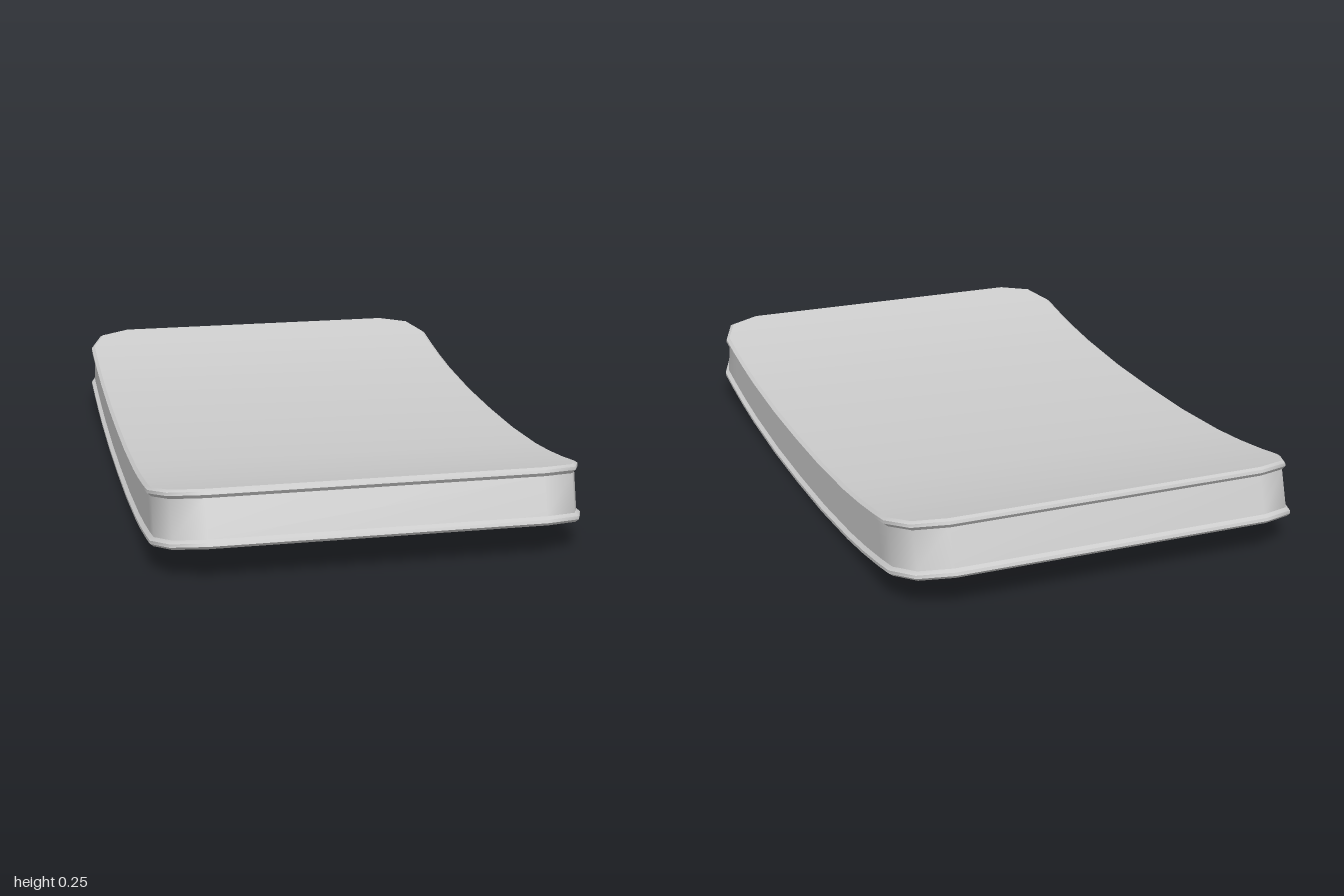
import * as THREE from 'three';
import { mergeGeometries } from 'three/addons/utils/BufferGeometryUtils.js';

const HALF_X = 0.608, HALF_Z = 1, RADIUS = 0.14, HEIGHT = 0.16;

// Right half of the rounded outline, front to back, shrunk by an inset
function halfOutline(inset) {
  const cx = HALF_X - RADIUS, cz = HALF_Z - RADIUS, r = RADIUS - inset;
  const points = [];
  const corner = (sign, angles) => {
    for (const a of angles) points.push([cx + r * Math.sin(a), sign * (cz + r * Math.cos(a))]);
  };
  corner(1, [0, Math.PI / 4, Math.PI / 2]);
  for (const z of [0.77, 0.64, 0.5, 0.25, 0, -0.25, -0.5, -0.64, -0.77]) points.push([HALF_X - inset, z]);
  corner(-1, [Math.PI / 2, Math.PI / 4, 0]);
  return points;
}

// Curve the slab upward at both ends and taper its length toward the top
function bend(x, h, z) {
  const y = 0.102 * Math.abs(z) ** 2.4 + h * (1 - 0.055 * z * z);
  return [x, y, z * (1 - 0.05 * h / HEIGHT)];
}

function ring([inset, h]) {
  const right = halfOutline(inset);
  const left = right.map(([x, z]) => [-x, z]).reverse();
  return [...right, ...left].map(([x, z]) => bend(x, h, z));
}

function toGeometry(points, index) {
  const g = new THREE.BufferGeometry();
  g.setAttribute('position', new THREE.Float32BufferAttribute(points.flat(), 3));
  g.setIndex(index);
  g.computeVertexNormals();
  return g;
}

// Wall between two rings, smooth around the outline
function band(low, high) {
  const a = ring(low), b = ring(high), n = a.length, index = [];
  for (let i = 0; i < n; i++) {
    const j = (i + 1) % n;
    index.push(i, j, n + j, i, n + j, n + i);
  }
  return toGeometry([...a, ...b], index);
}

// Panel made of strips running from side to side
function panel(level, faceUp) {
  const points = ring(level), n = points.length, index = [];
  for (let i = 0; i < n / 2 - 1; i++) {
    const j = i + 1, k = n - 2 - i, l = n - 1 - i;
    if (faceUp) index.push(i, j, k, i, k, l);
    else index.push(i, k, j, i, l, k);
  }
  return toGeometry(points, index);
}

export function createModel() {
  const group = new THREE.Group();
  group.name = 'curvedCushion';
  const material = new THREE.MeshStandardMaterial({ color: 0xcccccc });
  const add = (name, geometry) => {
    const mesh = new THREE.Mesh(geometry, material);
    mesh.name = name;
    group.add(mesh);
  };

  // Levels are [inset, height]; the top edge mirrors the bottom edge
  const lower = [[0.01, 0], [0, 0.007], [0, 0.016], [0.011, 0.025]];
  const upper = lower.map(([inset, h]) => [inset, HEIGHT - h]).reverse();
  const piping = (levels) => mergeGeometries(
    levels.slice(1).map((level, i) => band(levels[i], level)));

  add('bottomPanel', panel(lower[0], false));
  add('bottomPiping', piping(lower));
  add('sideWall', band(lower[3], upper[0]));
  add('topPiping', piping(upper));
  add('topPanel', panel(upper[3], true));
  return group;
}
